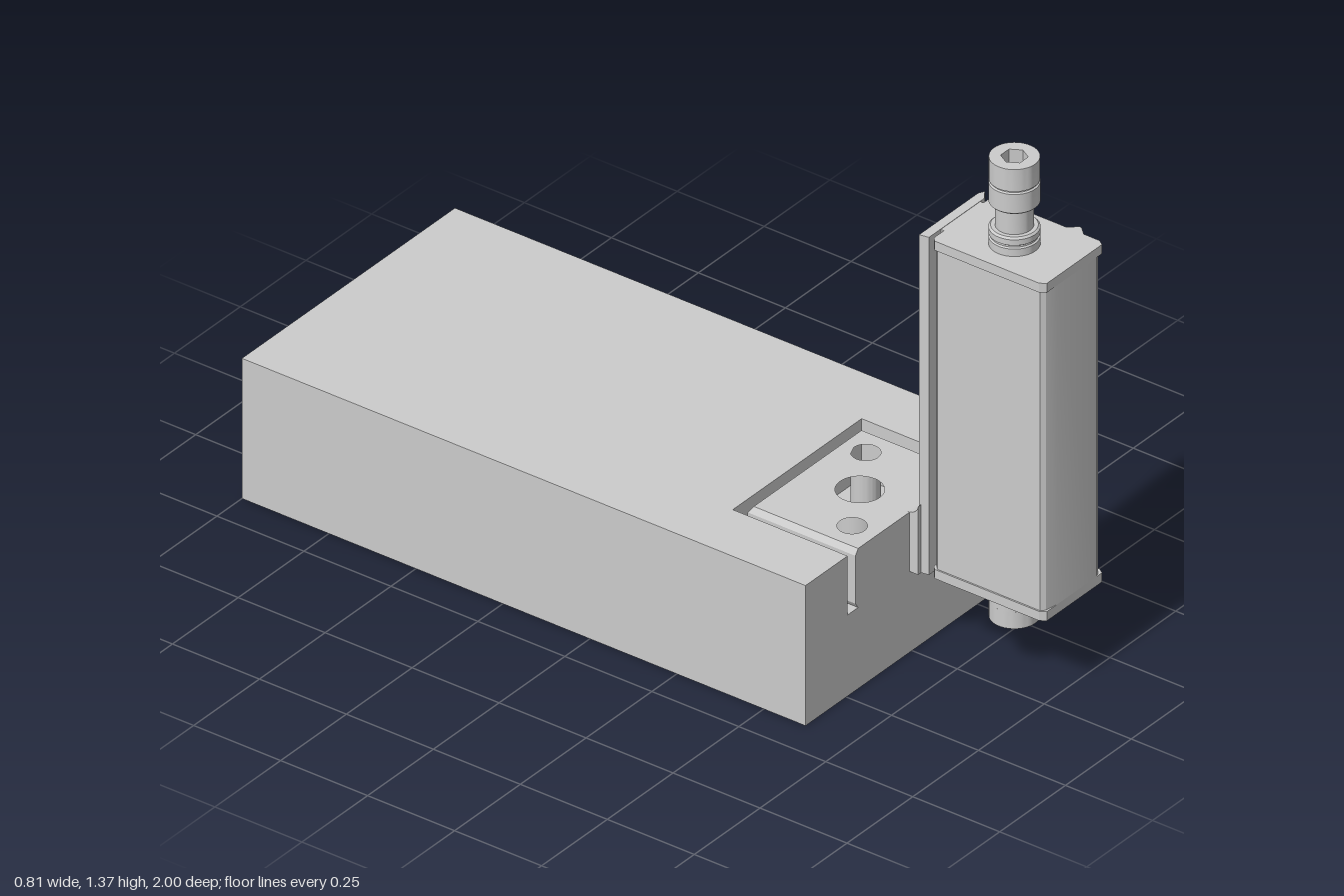
import * as THREE from 'three';
import { toCreasedNormals } from 'three/addons/utils/BufferGeometryUtils.js';

const material = new THREE.MeshStandardMaterial({ color: 0xcccccc });

// Shape from [x, z] plan points, with optional round holes [x, z, radius]
function plan(points, holes = []) {
  const shape = new THREE.Shape(points.map(([x, z]) => new THREE.Vector2(x, -z)));
  for (const [x, z, r] of holes) {
    shape.holes.push(new THREE.Path().absarc(x, -z, r, 0, Math.PI * 2, true));
  }
  return shape;
}

// Upright prism from a plan shape, between two heights
function prism(shape, y0, y1, steps = 1) {
  const g = new THREE.ExtrudeGeometry(shape, { depth: y1 - y0, steps, bevelEnabled: false, curveSegments: 24 });
  return g.rotateX(-Math.PI / 2).translate(0, y0, 0);
}

function add(group, name, geometry) {
  const mesh = new THREE.Mesh(toCreasedNormals(geometry, 0.5), material);
  mesh.name = name;
  group.add(mesh);
}

const rect = (x0, x1, z0, z1) => [[x0, z0], [x1, z0], [x1, z1], [x0, z1]];

function makeBase() {
  const base = new THREE.Group();
  base.name = 'base';
  // Floor of the block with the through hole, then the U-shaped rim of the pocket
  add(base, 'lowerBlock', prism(plan(rect(-0.405, 0.405, -1, 0.62), [[0, 0.47, 0.057]]), 0, 0.22));
  add(base, 'pocketRim', prism(plan([
    [-0.405, -1], [0.405, -1], [0.405, 0.62], [0.245, 0.62],
    [0.245, 0.29], [-0.245, 0.29], [-0.245, 0.62], [-0.405, 0.62],
  ]), 0.22, 0.38));
  return base;
}

function makeMount() {
  const mount = new THREE.Group();
  mount.name = 'mount';
  // Slab in the pocket; its outer edges are chamfered at top and bottom
  const holes = [[0, 0.47, 0.057], [0.135, 0.385, 0.035], [-0.135, 0.55, 0.035]];
  const slab = prism(plan(rect(-0.215, 0.215, 0.31, 0.62), holes), 0, 3, 3);
  const heights = [0.22, 0.235, 0.365, 0.38];
  const p = slab.attributes.position;
  for (let i = 0; i < p.count; i++) {
    const layer = Math.round(p.getY(i));
    p.setY(i, heights[layer]);
    if (layer === 0 || layer === 3) {
      if (Math.abs(p.getX(i)) > 0.2) p.setX(i, Math.sign(p.getX(i)) * 0.205);
      if (p.getZ(i) < 0.315) p.setZ(i, 0.32);
    }
  }
  add(mount, 'mountingSlab', slab);

  // Web with a fillet, joining the slab to the upright rail
  const web = new THREE.Shape();
  web.moveTo(-0.645, 0.22);
  web.lineTo(-0.61, 0.22);
  web.lineTo(-0.61, 0.38);
  web.quadraticCurveTo(-0.64, 0.38, -0.645, 0.405);
  const webGeometry = new THREE.ExtrudeGeometry(web, { depth: 0.23, bevelEnabled: false, curveSegments: 8 });
  add(mount, 'filletWeb', webGeometry.rotateY(Math.PI / 2).translate(-0.01, 0, 0));

  // Upright rail with a pointed edge, and the neck behind the slide body
  add(mount, 'uprightRail', prism(plan([
    [0, 0.64], [0.225, 0.64], [0.24, 0.648], [0.215, 0.665], [0.005, 0.665],
  ]), 0.22, 1.135));
  add(mount, 'railNeck', prism(plan(rect(0.05, 0.2, 0.66, 0.685)), 0.22, 1.134));
  return mount;
}

// Plan of the slide; the +x side has two V ridges
function slidePlan(left, side, tip, back, corner) {
  const ridge = (z) => [[side, z - 0.025], [tip, z - 0.003], [tip, z + 0.003], [side, z + 0.025]];
  return plan([
    [left + 0.01, back], [side - 0.01, back], [side, back + 0.01],
    ...ridge(0.755), ...ridge(0.915),
    [side, 0.985], [side - 0.01, 1 - corner], [0.2, 1], [0.05, 1],
    [left + 0.01, 1 - corner], [left, 0.985], [left, back + 0.01],
  ]);
}

function makeSlide() {
  const slide = new THREE.Group();
  slide.name = 'slide';
  const cap = slidePlan(0, 0.23, 0.25, 0.675, 0);
  const body = slidePlan(0.004, 0.222, 0.24, 0.68, 0.006);
  add(slide, 'slideBody', prism(body, 0.245, 1.11));
  add(slide, 'bottomCap', prism(cap, 0.22, 0.245));
  add(slide, 'topCap', prism(cap, 1.11, 1.135));
  return slide;
}

// Round end with a hexagonal socket facing up
function socketEnd(height) {
  const shape = new THREE.Shape().absarc(0, 0, 0.059, 0, Math.PI * 2);
  const hex = [];
  for (let i = 0; i < 6; i++) {
    hex.push(new THREE.Vector2(0.032 * Math.cos(i * Math.PI / 3), 0.032 * Math.sin(i * Math.PI / 3)));
  }
  shape.holes.push(new THREE.Path(hex));
  return prism(shape, 0, height);
}

function makeScrew() {
  const screw = new THREE.Group();
  screw.name = 'adjustingScrew';
  screw.position.set(0.105, 0, 0.835);
  // Grooved collar, neck and lower half of the head
  const profile = [
    [0, 1.13], [0.06, 1.13], [0.06, 1.155], [0.056, 1.158], [0.056, 1.162], [0.06, 1.165],
    [0.06, 1.18], [0.055, 1.185], [0.045, 1.185], [0.045, 1.248], [0.056, 1.248],
    [0.06, 1.252], [0.06, 1.303], [0.056, 1.306], [0.056, 1.31], [0, 1.31],
  ].map(([r, y]) => new THREE.Vector2(r, y));
  add(screw, 'collarAndNeck', new THREE.LatheGeometry(profile, 40));
  add(screw, 'headSocket', socketEnd(0.06).translate(0, 1.31, 0));
  // Lower end, with its socket facing down
  add(screw, 'lowerEnd', new THREE.CylinderGeometry(0.059, 0.059, 0.06, 40).translate(0, 0.2, 0));
  add(screw, 'lowerSocket', socketEnd(0.045).rotateX(Math.PI).translate(0, 0.17, 0));
  return screw;
}

export function createModel() {
  const model = new THREE.Group();
  model.name = 'slideUnit';
  model.add(makeBase(), makeMount(), makeSlide(), makeScrew());
  return model;
}
